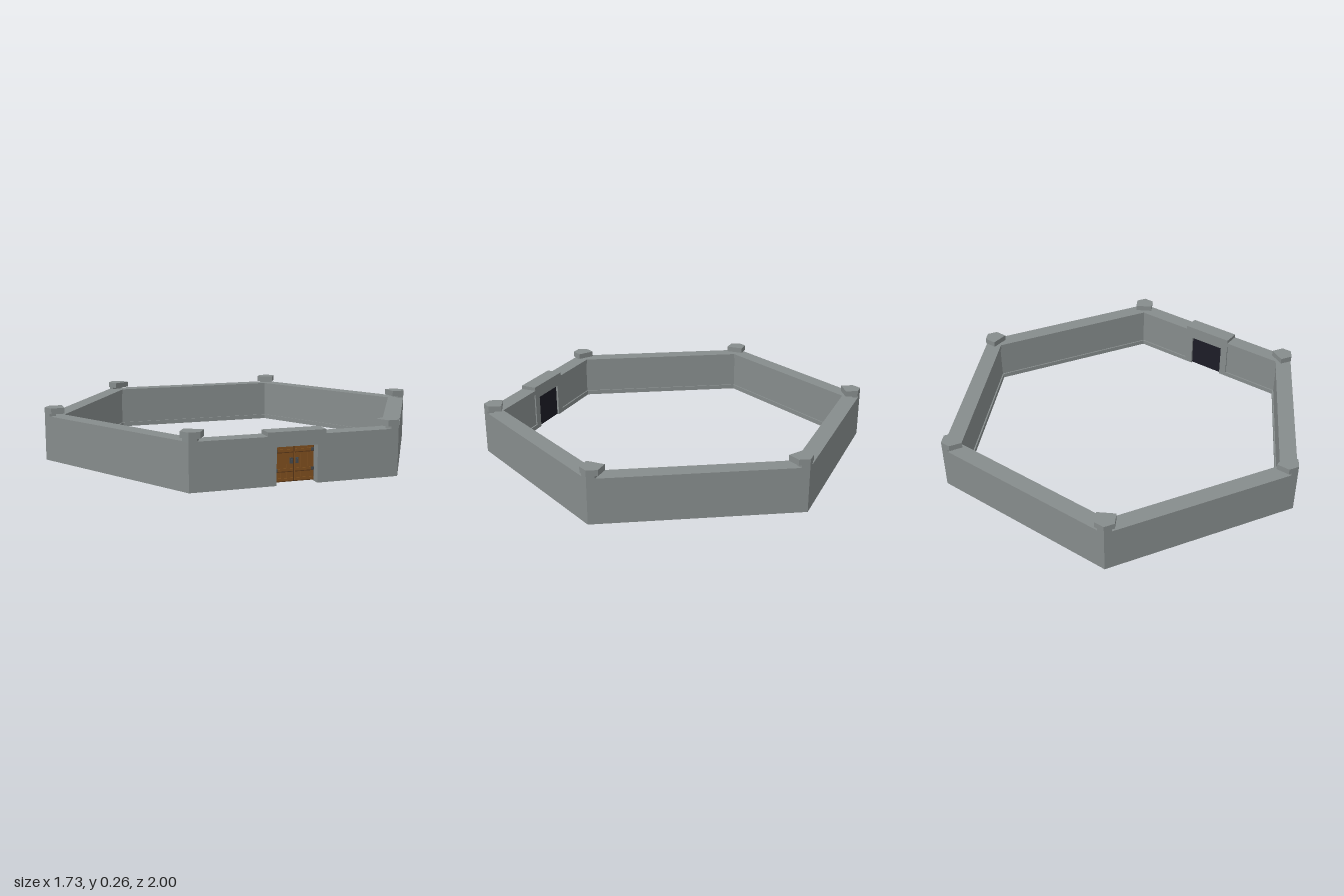
import * as THREE from 'three';

const OUT = 0.866, IN = 0.782, REC = 0.789, WALL_H = 0.224, T30 = Math.tan(Math.PI / 6);
const GATE_HALF = 0.139, OPEN_HALF = 0.098, OPEN_H = 0.175;

const mat = (name, color) => {
  const m = new THREE.MeshStandardMaterial({ color });
  m.name = name;
  return m;
};

function shapeOf(points) {
  return new THREE.Shape(points.map(([x, y]) => new THREE.Vector2(x, y)));
}

// Wall run along local x; its ends are given as functions of the distance from the centre
function wallGeometry(start, end) {
  const profile = shapeOf([
    [OUT, 0], [OUT, WALL_H], [IN, WALL_H], [IN, WALL_H - 0.024],
    [REC, WALL_H - 0.024], [REC, 0.024], [IN, 0.024], [IN, 0],
  ]);
  const geo = new THREE.ExtrudeGeometry(profile, { depth: 1, bevelEnabled: false });
  const p = geo.attributes.position;
  for (let i = 0; i < p.count; i++) {
    const a = p.getX(i), s = p.getZ(i);
    p.setXYZ(i, THREE.MathUtils.lerp(end(a), start(a), s), p.getY(i), a);
  }
  geo.computeVertexNormals();
  return geo;
}

// Five-sided prism that follows the outer corner of the ring
function cornerGeometry(hw, inner, y0, y1) {
  const side = 1 - hw * T30;
  const shape = shapeOf([[-hw, -inner], [-hw, -side], [0, -1], [hw, -side], [hw, -inner]]);
  const geo = new THREE.ExtrudeGeometry(shape, { depth: y1 - y0, bevelEnabled: false });
  return geo.rotateX(-Math.PI / 2).translate(0, y0, 0);
}

export function createModel() {
  const root = new THREE.Group();
  root.name = 'hexagonalWall';
  const stone = mat('stone', 0x868c8c);
  const wood = mat('wood', 0x80501f);
  const darkWood = mat('darkWood', 0x5c3818);
  const iron = mat('iron', 0x454b50);
  const shadow = mat('darkBacking', 0x1c1c26);

  const add = (parent, name, geo, material) => {
    const m = new THREE.Mesh(geo, material);
    m.name = name;
    parent.add(m);
    return m;
  };
  const box = (parent, name, material, w, h, d, x, y, z) =>
    add(parent, name, new THREE.BoxGeometry(w, h, d), material).position.set(x, y, z);

  const left = a => -a * T30, right = a => a * T30;

  // Five plain walls and the six corner posts
  const plain = wallGeometry(left, right);
  const neck = cornerGeometry(0.033, 0.95, WALL_H - 0.002, 0.236);
  const cap = cornerGeometry(0.046, 0.908, 0.236, 0.265);
  for (let i = 0; i < 6; i++) {
    if (i > 0) add(root, 'wall', plain, stone).rotation.y = Math.PI / 6 + i * Math.PI / 3;
    const post = new THREE.Group();
    post.name = 'cornerPost';
    post.rotation.y = i * Math.PI / 3;
    add(post, 'postNeck', neck, stone);
    add(post, 'postCap', cap, stone);
    root.add(post);
  }

  // Gate side: two shorter walls around a taller gate block
  const gate = new THREE.Group();
  gate.name = 'gateSide';
  gate.rotation.y = Math.PI / 6;
  root.add(gate);
  add(gate, 'gateWall', wallGeometry(left, () => -GATE_HALF), stone);
  add(gate, 'gateWall', wallGeometry(() => GATE_HALF, right), stone);
  const arch = shapeOf([
    [-GATE_HALF, 0], [-OPEN_HALF, 0], [-OPEN_HALF, OPEN_H], [OPEN_HALF, OPEN_H],
    [OPEN_HALF, 0], [GATE_HALF, 0], [GATE_HALF, 0.243], [-GATE_HALF, 0.243],
  ]);
  const archGeo = new THREE.ExtrudeGeometry(arch, { depth: OUT - IN, bevelEnabled: false });
  add(gate, 'gateBlock', archGeo.translate(0, 0, IN), stone);

  // Dark backing seen from the courtyard
  box(gate, 'gateBacking', shadow, OPEN_HALF * 2, OPEN_H - 0.002, 0.014, 0, OPEN_H / 2, 0.8);

  // Double doors: planks, rails, hinges and handles
  const z = 0.824;
  box(gate, 'doorCore', darkWood, OPEN_HALF * 2, 0.168, 0.012, 0, 0.09, z - 0.01);
  for (const s of [-1, 1]) {
    const door = new THREE.Group();
    door.name = s > 0 ? 'leftDoor' : 'rightDoor';
    gate.add(door);
    for (let k = 0; k < 3; k++) {
      box(door, 'plank', wood, 0.0295, 0.162, 0.006, s * (0.018 + k * 0.031), 0.09, z - 0.002);
    }
    for (const y of [0.016, 0.06, 0.148]) {
      box(door, 'rail', wood, 0.09, 0.012, 0.006, s * 0.05, y, z + 0.002);
      box(door, 'railEdge', darkWood, 0.09, 0.004, 0.005, s * 0.05, y - 0.008, z + 0.001);
    }
    for (const y of [0.06, 0.148]) {
      box(door, 'hinge', iron, 0.014, 0.014, 0.006, s * 0.088, y, z + 0.004);
    }
    box(door, 'handlePlate', iron, 0.014, 0.026, 0.006, s * 0.014, 0.102, z + 0.003);
    box(door, 'handle', iron, 0.005, 0.014, 0.008, s * 0.014, 0.102, z + 0.008);
  }
  return root;
}
